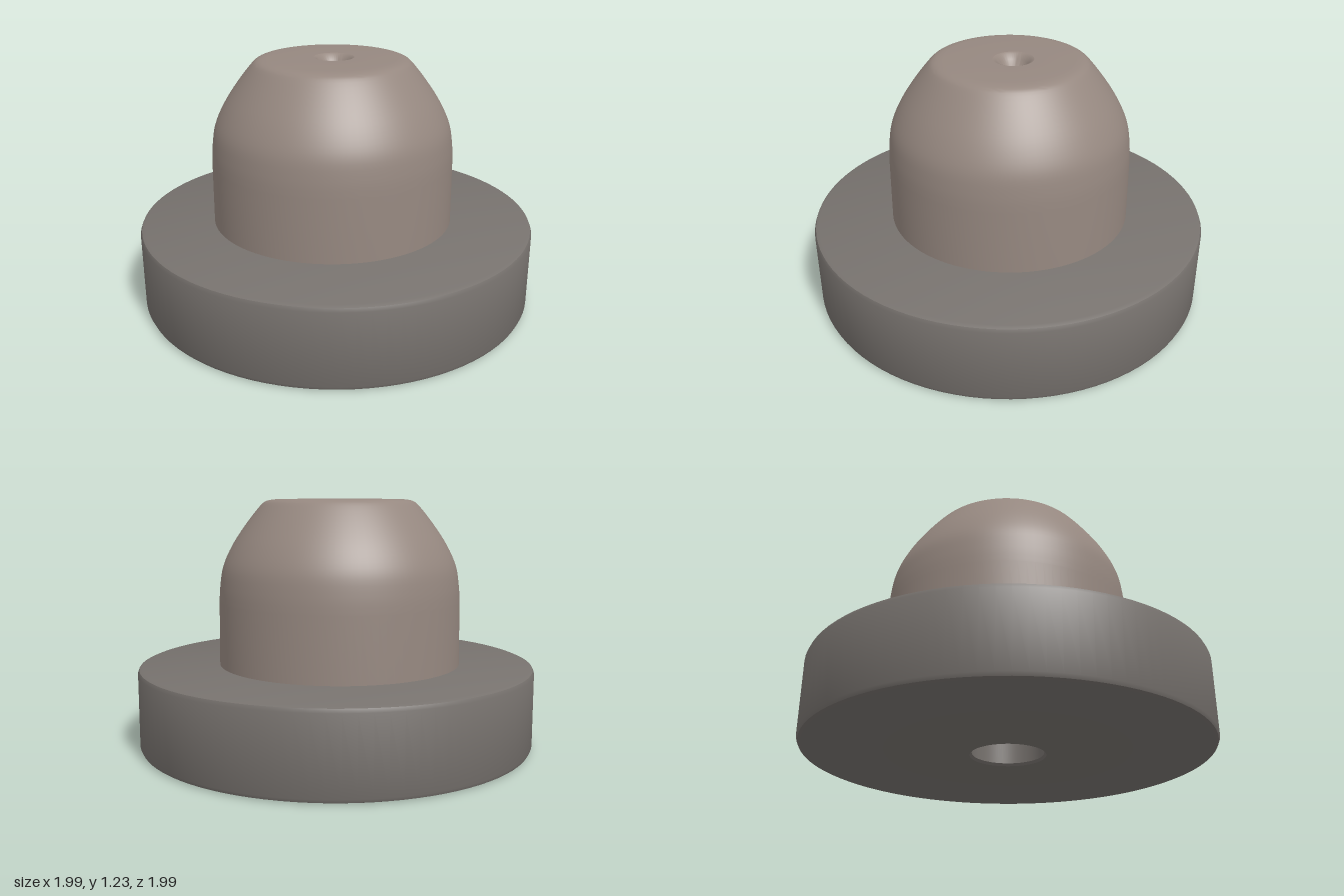
import * as THREE from 'three';
import { toCreasedNormals } from 'three/addons/utils/BufferGeometryUtils.js';

// Turned solid from [radius, height] pairs, run from the bottom axis to the top axis
function turned(name, profile, color, crease) {
  const points = profile.map(([r, y]) => new THREE.Vector2(r, y));
  const geometry = toCreasedNormals(new THREE.LatheGeometry(points, 96), crease);
  const mesh = new THREE.Mesh(geometry, new THREE.MeshStandardMaterial({ color }));
  mesh.name = name;
  return mesh;
}

export function createModel() {
  const model = new THREE.Group();
  model.name = 'domedPlug';

  // Wide disc with softened rims and a round blind hole underneath
  const flange = turned('flange', [
    [0, 0.4], [0.175, 0.4], [0.175, 0.015], [0.185, 0.003],
    [0.975, 0.003], [0.99, 0.009], [0.997, 0.025],
    [0.997, 0.383], [0.99, 0.4], [0.973, 0.407], [0, 0.407],
  ], 0x77726e, 0.6);
  model.add(flange);

  // Dome with straight lower wall, flat top and a small conical dimple
  const shoulder = new THREE.SplineCurve([
    [0.607, 0.72], [0.602, 0.8], [0.585, 0.9], [0.54, 1.0],
    [0.475, 1.1], [0.4, 1.195], [0.365, 1.222], [0.32, 1.23],
  ].map(([r, y]) => new THREE.Vector2(r, y))).getPoints(28).map((p) => [p.x, p.y]);
  const dome = turned('dome', [
    [0.61, 0.4], ...shoulder, [0.1, 1.228],
  ], 0x968880, 0.6);
  dome.position.x = -0.02;
  model.add(dome);

  // Dimple sits slightly behind the dome axis, so it is its own piece
  const dimple = turned('dimple', [
    [0.1, 1.228], [0.085, 1.222], [0.07, 1.2], [0.045, 1.165], [0.035, 1.16], [0, 1.16],
  ], 0x968880, 0.6);
  dimple.position.set(-0.02, 0, -0.02);
  model.add(dimple);

  // Shift the dome's inner rim back to meet the dimple
  const position = dome.geometry.attributes.position;
  for (let i = 0; i < position.count; i++) {
    if (Math.hypot(position.getX(i), position.getZ(i)) < 0.15) {
      position.setZ(i, position.getZ(i) - 0.02);
    }
  }
  return model;
}
